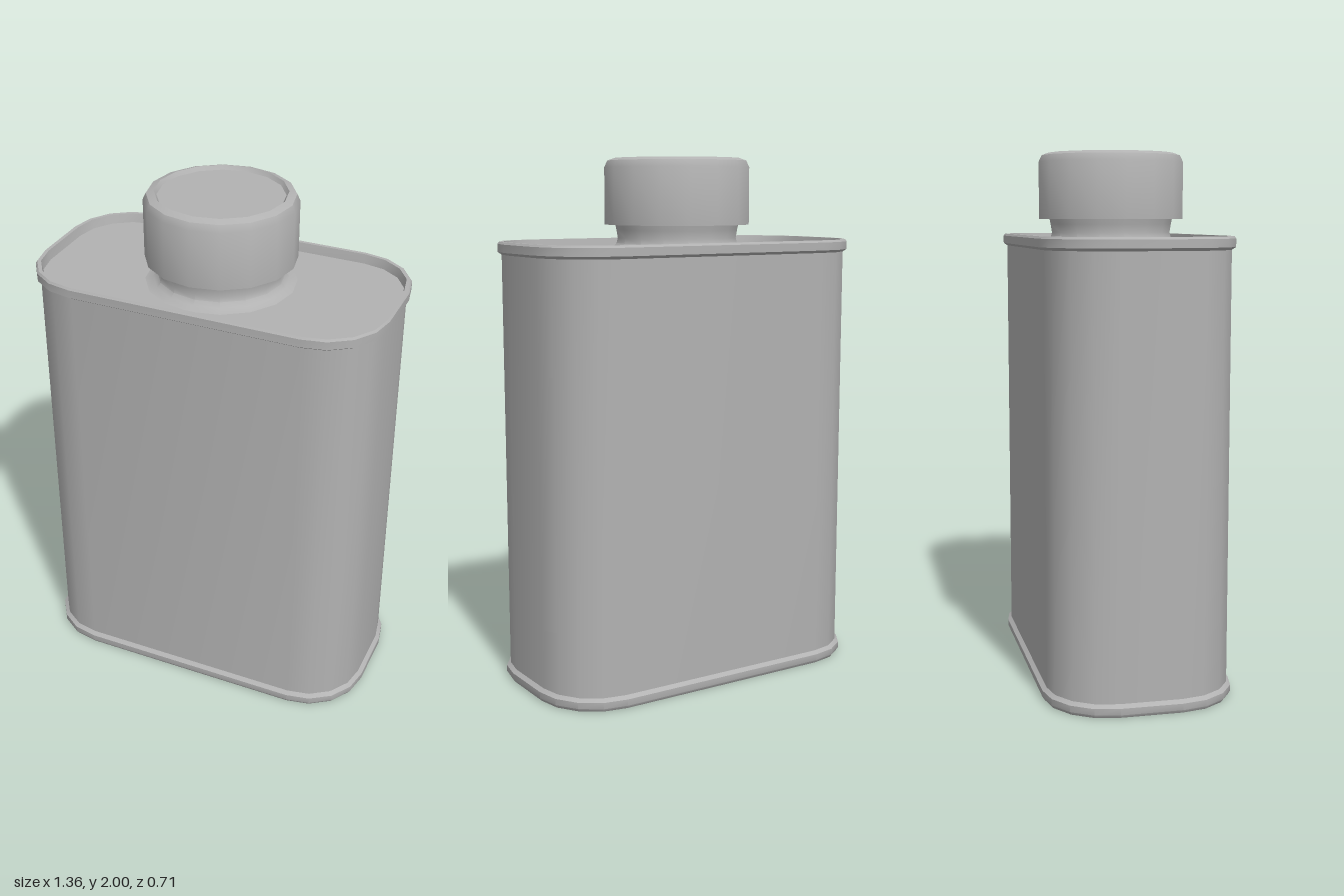
import * as THREE from 'three';
import { toCreasedNormals } from 'three/addons/utils/BufferGeometryUtils.js';

const HALF_W = 0.68, HALF_D = 0.355, RADIUS = 0.24, STEPS = 4;

// Rounded rectangle outline, inset from the widest outline
function outline(inset) {
  const r = RADIUS - inset, cx = HALF_W - RADIUS, cz = HALF_D - RADIUS, pts = [];
  for (let q = 0; q < 4; q++) {
    const sx = q === 0 || q === 3 ? 1 : -1, sz = q < 2 ? 1 : -1;
    for (let i = 0; i <= STEPS; i++) {
      const a = (q + i / STEPS) * Math.PI / 2;
      pts.push([sx * cx + r * Math.cos(a), sz * cz + r * Math.sin(a)]);
    }
  }
  return pts;
}

// Skin over [inset, y] rings from bottom to top; both ends are closed with fans
function loft(profile) {
  const pos = [], idx = [], n = 4 * (STEPS + 1);
  for (const [inset, y] of profile) for (const [x, z] of outline(inset)) pos.push(x, y, z);
  const last = (profile.length - 1) * n, bottom = profile.length * n, top = bottom + 1;
  pos.push(0, profile[0][1], 0, 0, profile[profile.length - 1][1], 0);
  for (let j = 0; j < n; j++) {
    const k = (j + 1) % n;
    for (let i = 0; i < last; i += n) idx.push(i + j, i + n + j, i + k, i + k, i + n + j, i + n + k);
    idx.push(bottom, j, k, top, last + k, last + j);
  }
  const g = new THREE.BufferGeometry();
  g.setAttribute('position', new THREE.Float32BufferAttribute(pos, 3));
  g.setIndex(idx);
  return toCreasedNormals(g, 0.6);
}

// Round part from [radius, y] points, bottom to top
function turned(profile) {
  const g = new THREE.LatheGeometry(profile.map(([r, y]) => new THREE.Vector2(r, y)), 16);
  return toCreasedNormals(g, 0.6);
}

export function createModel() {
  const group = new THREE.Group();
  const metal = new THREE.MeshStandardMaterial({ color: 0xb2b2b2 });
  metal.name = 'grey metal';
  const add = (name, geometry) => {
    const mesh = new THREE.Mesh(geometry, metal);
    mesh.name = name;
    group.add(mesh);
  };

  // Can with rolled rims and recessed end panels
  add('canBody', loft([
    [0.027, 0.03], [0.02, 0], [0.008, 0], [0, 0.012], [0, 0.036], [0.015, 0.048],
    [0.015, 1.642], [0, 1.652], [0, 1.682], [0.006, 1.69], [0.02, 1.69], [0.027, 1.655],
  ]));

  // Neck flaring out at the top panel
  add('neck', turned([
    [0.28, 1.655], [0.25, 1.664], [0.235, 1.68], [0.23, 1.7], [0.235, 1.73], [0.24, 1.755],
  ]));

  // Screw cap with bevelled edge and sunken top
  add('cap', turned([
    [0, 1.75], [0.28, 1.75], [0.28, 1.965], [0.268, 1.99], [0.24, 2], [0.23, 1.985], [0, 1.985],
  ]));
  return group;
}
